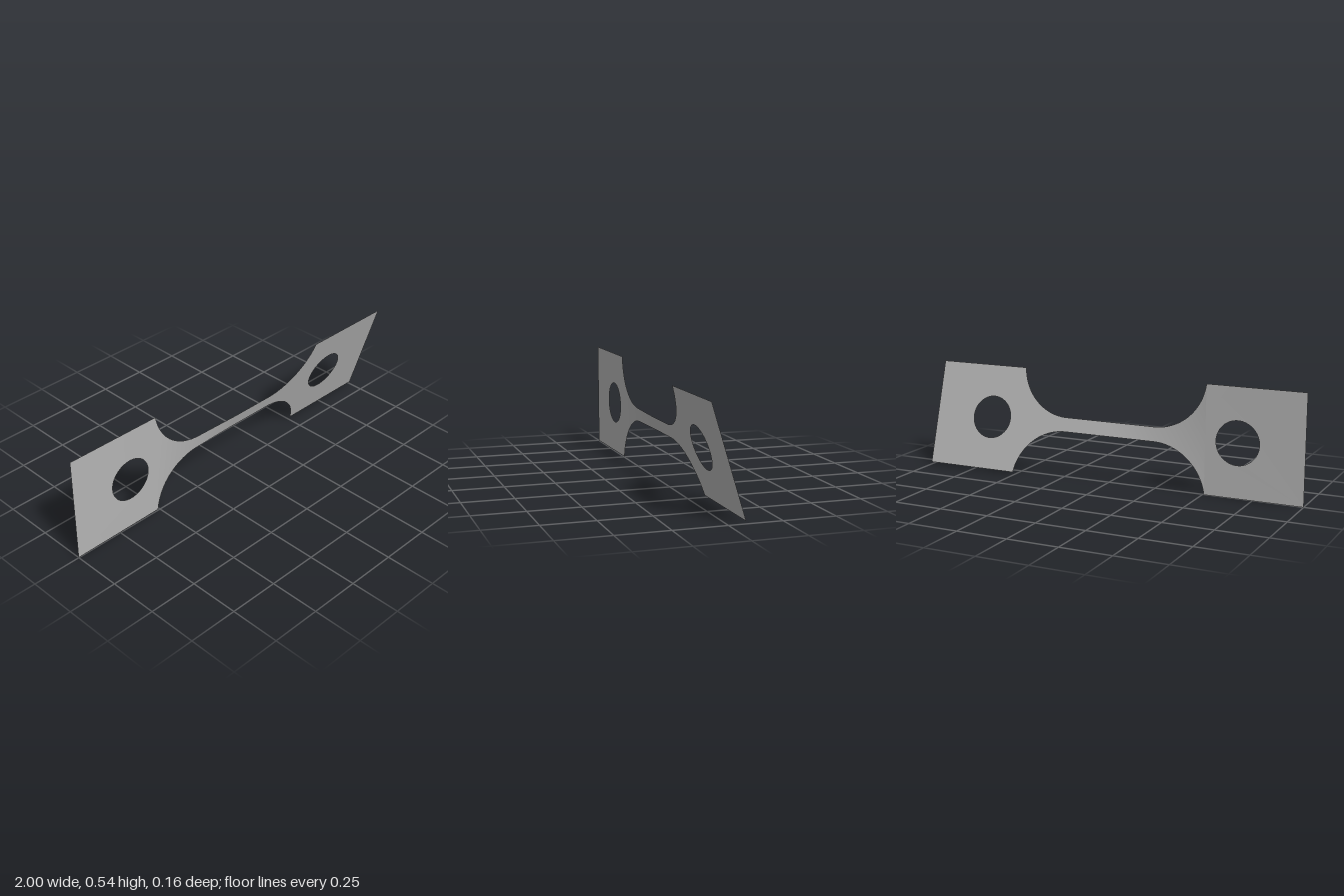
import * as THREE from 'three';

const CY = 0.271;       // height of the long axis
const HALF = 0.27;      // half height of the tabs
const NECK = 0.036;     // half height of the gauge
const R = 0.27;         // fillet radius
const FX = 0.24;        // where the fillets begin
const T_END = Math.acos(1 - (HALF - NECK) / R);
const TAB_X = FX + R * Math.sin(T_END);

// twist about the long axis in degrees, piecewise linear along x
const TWIST = [[-1, 0.3], [-TAB_X, 1.1], [-0.4, 4], [-0.25, 8.5], [0, 17.2], [1, 17.2]];
function twistAt(x) {
  for (let i = 1; i < TWIST.length; i++) {
    const [x0, a0] = TWIST[i - 1], [x1, a1] = TWIST[i];
    if (x <= x1) return THREE.MathUtils.degToRad(a0 + (a1 - a0) * (x - x0) / (x1 - x0));
  }
  return THREE.MathUtils.degToRad(17.2);
}

// turns a flat sheet around the long axis
function twist(geometry) {
  const p = geometry.attributes.position;
  for (let i = 0; i < p.count; i++) {
    const x = p.getX(i), h = p.getY(i), a = twistAt(x);
    p.setXYZ(i, x, CY + h * Math.cos(a), h * Math.sin(a));
  }
  geometry.computeVertexNormals();
  return geometry;
}

// square end with a round hole
function tabGeometry(side) {
  const a = side * TAB_X, b = side;
  const shape = new THREE.Shape([
    new THREE.Vector2(a, -HALF), new THREE.Vector2(b, -HALF),
    new THREE.Vector2(b, HALF), new THREE.Vector2(a, HALF),
  ]);
  const hole = new THREE.Path();
  hole.absarc(side * 0.67, 0, 0.108, 0, Math.PI * 2, true);
  shape.holes.push(hole);
  return twist(new THREE.ShapeGeometry(shape, 32));
}

// narrow middle with fillets flaring out to both tabs
function gaugeGeometry() {
  const columns = [];
  const arc = 24, straight = 24, rows = 6;
  for (let i = arc; i > 0; i--) {
    const t = T_END * i / arc;
    columns.push([-FX - R * Math.sin(t), NECK + R * (1 - Math.cos(t))]);
  }
  for (let i = 0; i <= straight; i++) columns.push([-FX + 2 * FX * i / straight, NECK]);
  for (let i = 1; i <= arc; i++) {
    const t = T_END * i / arc;
    columns.push([FX + R * Math.sin(t), NECK + R * (1 - Math.cos(t))]);
  }
  const geometry = new THREE.PlaneGeometry(1, 2, columns.length - 1, rows);
  const p = geometry.attributes.position;
  for (let i = 0; i < p.count; i++) {
    const [x, h] = columns[i % columns.length];
    p.setXY(i, x, h * p.getY(i));
  }
  return twist(geometry);
}

export function createModel() {
  const group = new THREE.Group();
  group.name = 'twistedTestStrip';
  const metal = new THREE.MeshStandardMaterial({ color: 0xb4b4b4, side: THREE.DoubleSide });
  metal.name = 'plain grey metal';

  const add = (name, geometry) => {
    const mesh = new THREE.Mesh(geometry, metal);
    mesh.name = name;
    group.add(mesh);
  };
  add('leftTab', tabGeometry(1));
  add('rightTab', tabGeometry(-1));
  add('gauge', gaugeGeometry());
  return group;
}
